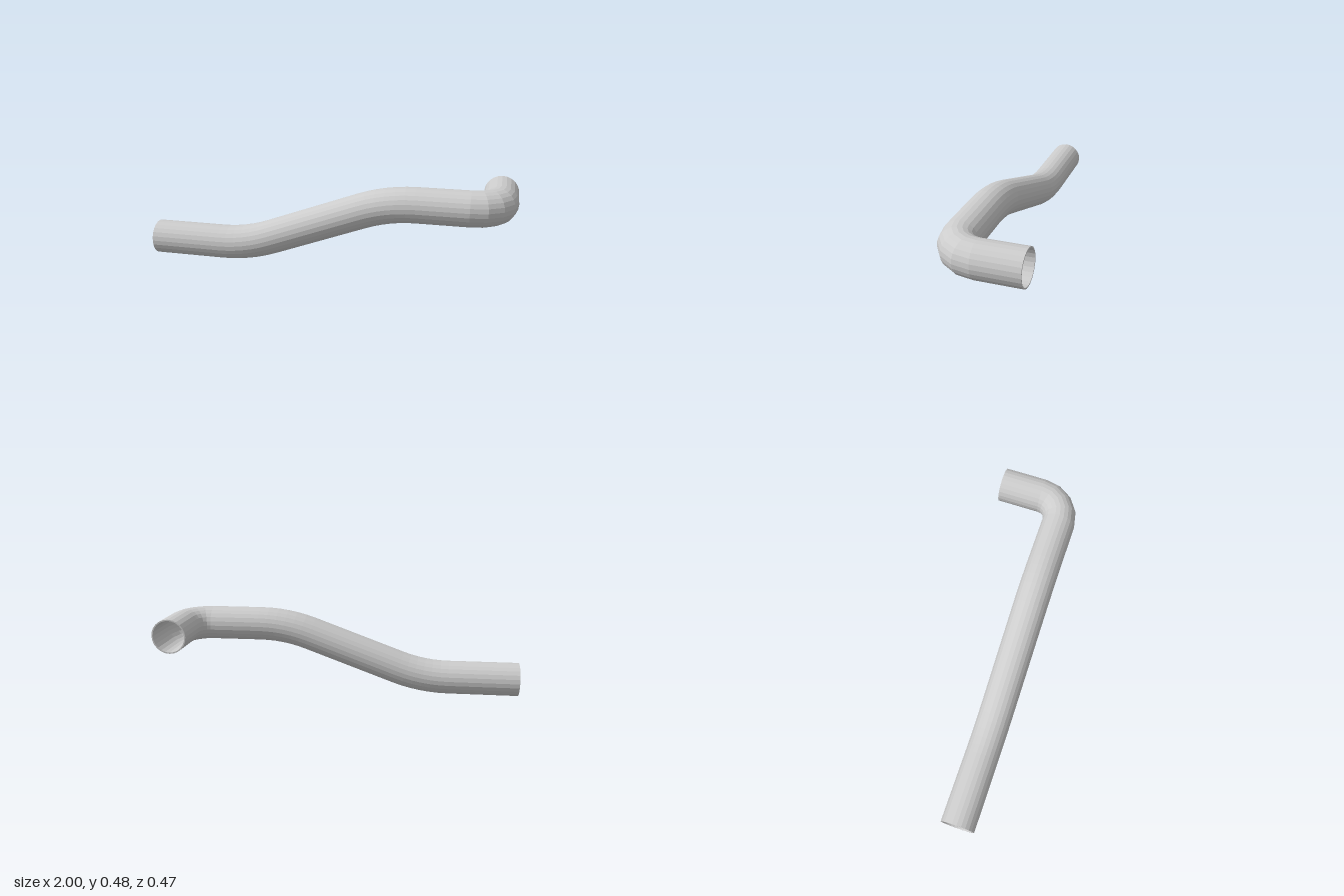
import * as THREE from 'three';

const SIDES = 24;
const OUTER = 0.0945, INNER = 0.0875;

// Sections along the centre line: position, pitch (climb) and yaw (turn towards -z)
function pipeSections() {
  const sections = [];
  const add = (x, y, z, pitch = 0, yaw = 0) => sections.push({ p: new THREE.Vector3(x, y, z), pitch, yaw });
  const low = 0.0945, high = 0.383, z = 0.143;
  const slope = THREE.MathUtils.degToRad(20), R = 0.85, steps = 6;
  const startX = -0.605, endX = 0.485;

  add(-1, low, z);
  // Lower bend, curving up into the slope
  for (let i = 0; i <= steps; i++) {
    const a = slope * i / steps;
    add(startX + R * Math.sin(a), low + R * (1 - Math.cos(a)), z, a);
  }
  // Upper bend, levelling out again
  for (let i = steps; i >= 0; i--) {
    const a = slope * i / steps;
    add(endX - R * Math.sin(a), high - R * (1 - Math.cos(a)), z, a);
  }
  // Tight elbow turning to the back
  const r = 0.143;
  for (let i = 0; i <= 4; i++) {
    const a = Math.PI / 2 * i / 4;
    add(0.7625 + r * Math.sin(a), high, r * Math.cos(a), 0, a);
  }
  add(0.9055, high, -0.2375, 0, Math.PI / 2);
  return sections;
}

// Ring of points square to the centre line
function ring({ p, pitch, yaw }, radius) {
  const up = new THREE.Vector3(-Math.sin(pitch), Math.cos(pitch), 0);
  const side = new THREE.Vector3(Math.sin(yaw), 0, Math.cos(yaw));
  return Array.from({ length: SIDES }, (_, j) => {
    const a = j / SIDES * Math.PI * 2;
    return p.clone().addScaledVector(up, radius * Math.cos(a)).addScaledVector(side, radius * Math.sin(a));
  });
}

export function createModel() {
  const sections = pipeSections();
  // Outer wall forwards, inner wall backwards; the joins form the end rims
  const rings = [
    ...sections.map(s => ring(s, OUTER)),
    ...sections.slice().reverse().map(s => ring(s, INNER)),
  ];
  const index = [];
  for (let i = 0; i < rings.length; i++) {
    const next = (i + 1) % rings.length;
    for (let j = 0; j < SIDES; j++) {
      const k = (j + 1) % SIDES;
      const a = i * SIDES + j, b = i * SIDES + k;
      const c = next * SIDES + j, d = next * SIDES + k;
      index.push(a, b, c, b, d, c);
    }
  }
  let geometry = new THREE.BufferGeometry().setFromPoints(rings.flat());
  geometry.setIndex(index);
  geometry = geometry.toNonIndexed();
  geometry.computeVertexNormals();

  const pipe = new THREE.Mesh(geometry, new THREE.MeshStandardMaterial({ color: 0xcccccc, flatShading: true }));
  pipe.name = 'bentPipe';
  const group = new THREE.Group();
  group.name = 'pipe';
  group.add(pipe);
  return group;
}
